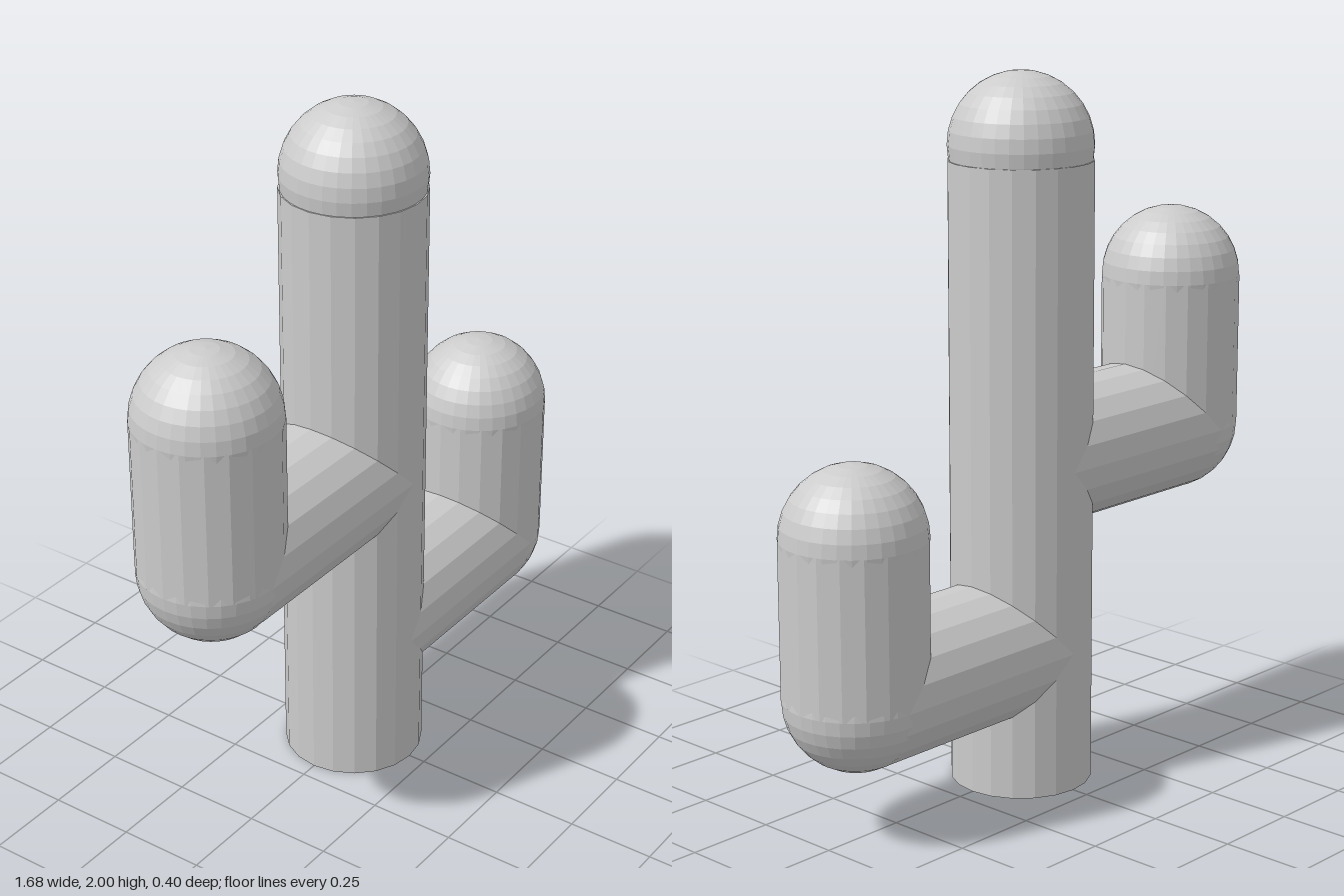
import * as THREE from 'three';

const R = 0.2;
const SIDES = 20;

export function createModel() {
  const model = new THREE.Group();
  const material = new THREE.MeshStandardMaterial({ color: 0xcccccc, flatShading: true });

  const add = (parent, name, geometry, x, y) => {
    const mesh = new THREE.Mesh(geometry, material);
    mesh.name = name;
    mesh.position.set(x, y, 0);
    parent.add(mesh);
    return mesh;
  };
  const tube = (length, open) => new THREE.CylinderGeometry(R, R, length, SIDES, 1, open);
  const ball = () => new THREE.SphereGeometry(R * 0.998, 32, 16);

  // Upright trunk with a rounded top
  add(model, 'trunk', tube(1.76, false), 0, 0.88);
  add(model, 'trunkTop', ball(), 0, 1.8);

  // Each arm reaches sideways, turns at a round elbow and rises to a round tip
  const addArm = (name, side, elbowY, tipY) => {
    const arm = new THREE.Group();
    arm.name = name;
    const elbowX = side * 0.64;
    add(arm, 'branch', tube(0.64, true), elbowX / 2, elbowY).rotation.z = Math.PI / 2;
    add(arm, 'elbow', ball(), elbowX, elbowY);
    add(arm, 'upright', tube(tipY - elbowY, true), elbowX, (elbowY + tipY) / 2);
    add(arm, 'tip', ball(), elbowX, tipY);
    model.add(arm);
  };
  addArm('leftArm', 1, 0.402, 0.84);
  addArm('rightArm', -1, 0.922, 1.36);

  return model;
}
